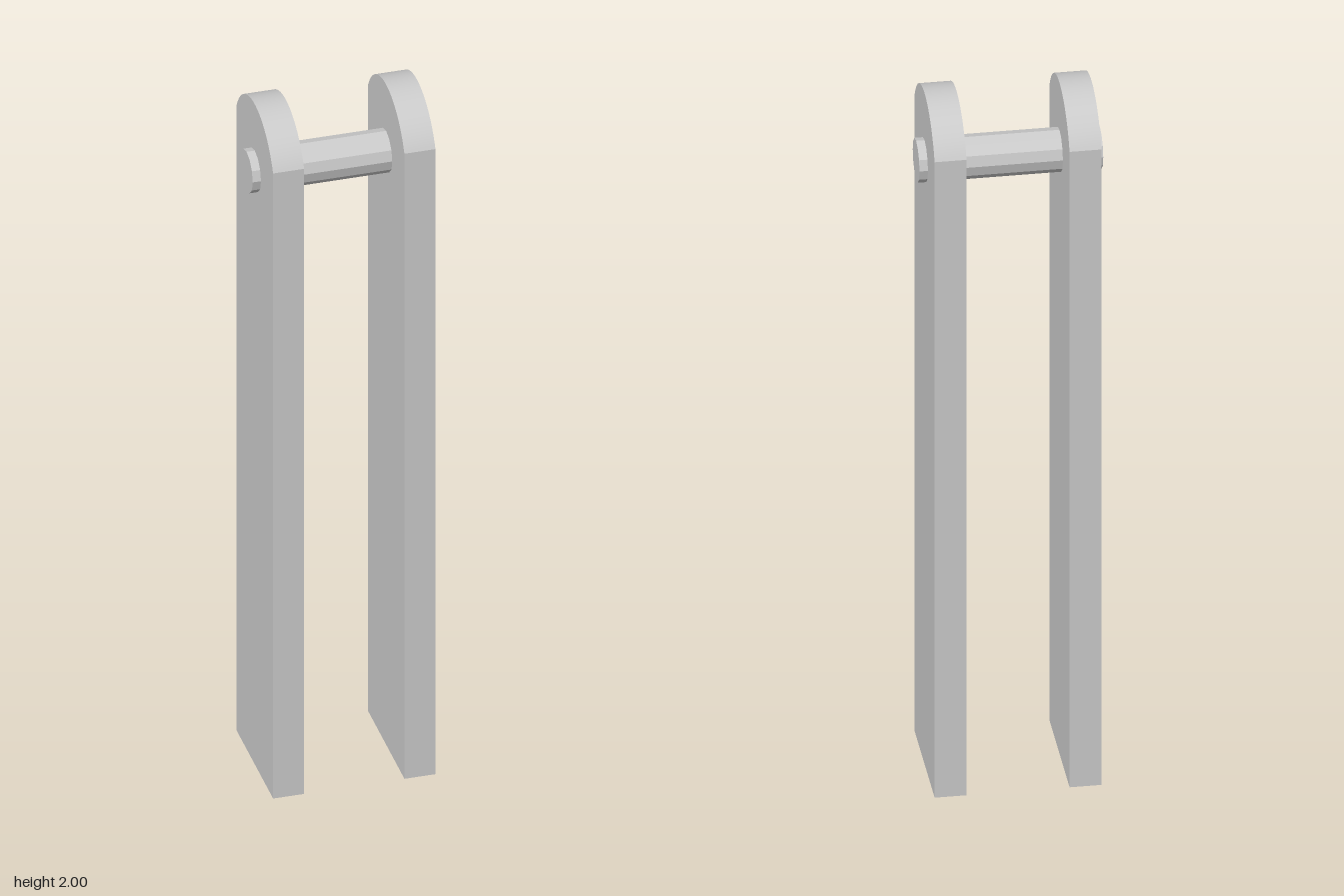
import * as THREE from 'three';
import { toCreasedNormals } from 'three/addons/utils/BufferGeometryUtils.js';

export function createModel() {
  const group = new THREE.Group();
  const material = new THREE.MeshStandardMaterial({ color: 0xcccccc });
  const flatMaterial = new THREE.MeshStandardMaterial({ color: 0xcccccc, flatShading: true });

  // Side plate profile: tall strap with a shallow rounded top
  const halfWidth = 0.1725, shoulder = 1.894, radius = 0.1925, thickness = 0.083;
  const centerY = 2 - radius;
  const angle = Math.atan2(shoulder - centerY, halfWidth);
  const profile = new THREE.Shape();
  profile.moveTo(-halfWidth, 0);
  profile.lineTo(halfWidth, 0);
  profile.lineTo(halfWidth, shoulder);
  profile.absarc(0, centerY, radius, angle, Math.PI - angle, false);
  profile.closePath();

  const extruded = new THREE.ExtrudeGeometry(profile, {
    depth: thickness, bevelEnabled: false, curveSegments: 20,
  });
  extruded.translate(0, 0, -thickness / 2).rotateY(Math.PI / 2);
  const plateGeometry = toCreasedNormals(extruded, 0.3);

  for (const [name, side] of [['leftPlate', 1], ['rightPlate', -1]]) {
    const plate = new THREE.Mesh(plateGeometry, material);
    plate.name = name;
    plate.position.x = side * 0.1755;
    group.add(plate);
  }

  // Faceted cross pin running through both plates
  const pinGeometry = new THREE.CylinderGeometry(0.058, 0.058, 0.478, 12);
  pinGeometry.rotateZ(Math.PI / 2);
  const pin = new THREE.Mesh(pinGeometry, flatMaterial);
  pin.name = 'crossPin';
  pin.position.y = 1.802;
  group.add(pin);

  return group;
}
